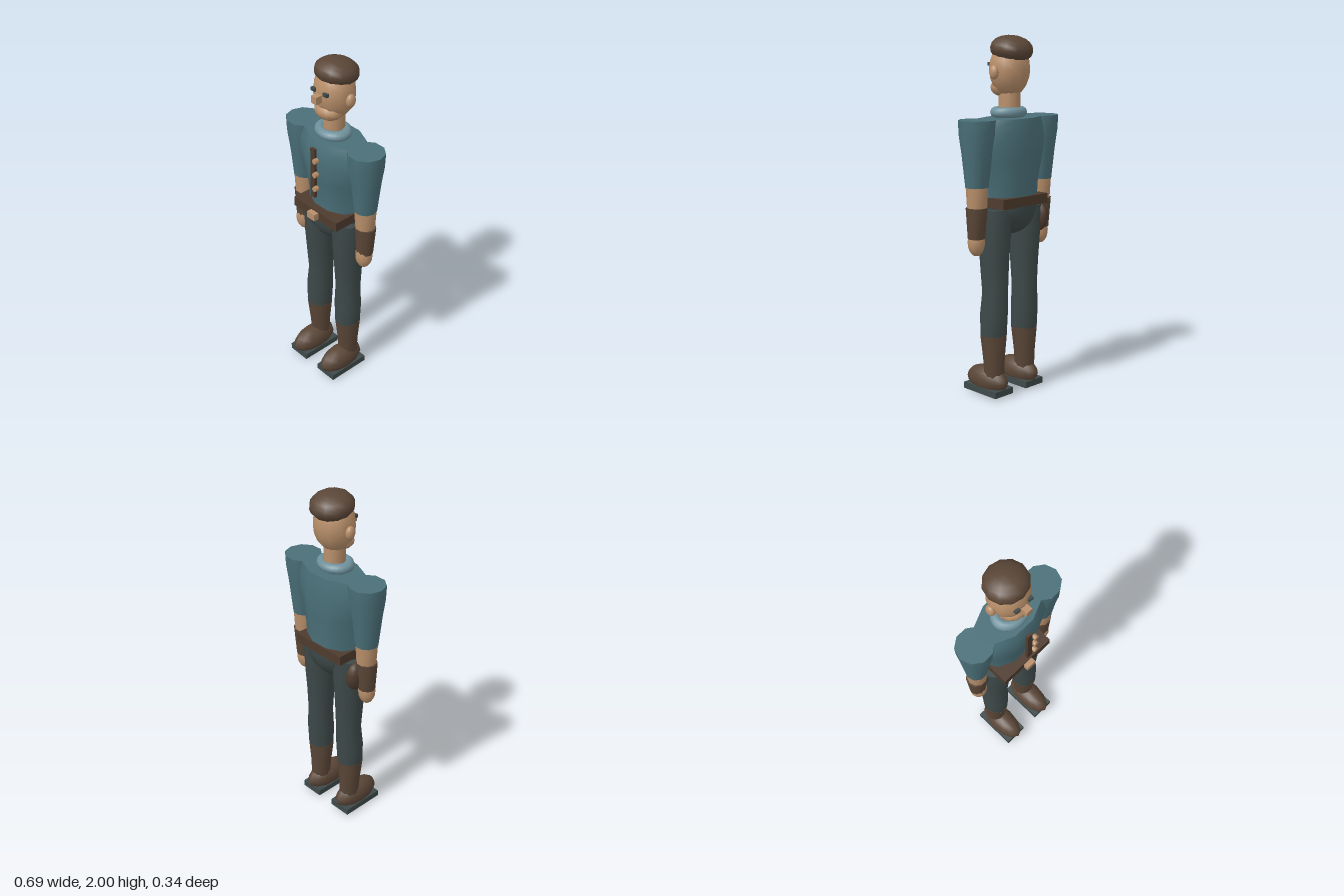
import * as THREE from 'three';
import { toCreasedNormals } from 'three/addons/utils/BufferGeometryUtils.js';

const mat = (name, color) => Object.assign(new THREE.MeshStandardMaterial({ color }), { name });

export function createModel() {
  const model = new THREE.Group();
  model.name = 'standingMan';

  const teal = mat('tealShirt', 0x4a6f78);
  const collarBlue = mat('paleBlueCollar', 0x6e919c);
  const skin = mat('skin', 0xb88f6a);
  const brown = mat('brownLeather', 0x5a4637);
  const beltBrown = mat('darkBrownLeather', 0x4e3b2e);
  const dark = mat('darkTrousers', 0x3e4949);

  const Z = -0.035; // depth of the body axis

  function add(name, geometry, material, x = 0, y = 0, z = 0) {
    const mesh = new THREE.Mesh(geometry, material);
    mesh.name = name;
    mesh.position.set(x, y, z);
    model.add(mesh);
    return mesh;
  }

  // Ten-sided limb through rings listed from top to bottom: [y, x, z, radiusX, radiusZ]
  function loft(name, rings, material) {
    const g = new THREE.CylinderGeometry(1, 1, 1, 10, rings.length - 1);
    g.rotateY(Math.PI / 2);
    const p = g.attributes.position;
    for (let i = 0; i < p.count; i++) {
      const [y, x, z, rx, rz] = rings[Math.round((0.5 - p.getY(i)) * (rings.length - 1))];
      p.setXYZ(i, x + p.getX(i) * rx, y, z + p.getZ(i) * rz);
    }
    return add(name, toCreasedNormals(g, 0.9), material);
  }

  function ellipsoid(name, material, [x, y, z], [rx, ry, rz], start = 0, length = Math.PI) {
    const g = new THREE.SphereGeometry(1, 12, 10, 0, Math.PI * 2, start, length);
    g.scale(rx, ry, rz);
    return add(name, g, material, x, y, z);
  }

  const box = (name, material, [x, y, z], [w, h, d]) =>
    add(name, new THREE.BoxGeometry(w, h, d), material, x, y, z);

  // Torso, belt and hips
  loft('torso', [
    [1.56, 0, Z - 0.005, 0.205, 0.122],
    [1.51, 0, Z, 0.222, 0.135],
    [1.43, 0, Z, 0.232, 0.143],
    [1.32, 0, Z - 0.003, 0.205, 0.134],
    [1.21, 0, Z - 0.01, 0.178, 0.115],
    [1.12, 0, Z - 0.01, 0.172, 0.112],
  ], teal);
  box('belt', beltBrown, [0, 1.108, -0.026], [0.344, 0.055, 0.268]);
  box('buckle', skin, [0, 1.108, 0.122], [0.058, 0.04, 0.032]);
  ellipsoid('hips', dark, [0, 1.085, Z], [0.172, 0.17, 0.137], Math.PI / 2, Math.PI / 2);

  // Shirt fastening
  box('placket', beltBrown, [0, 1.38, 0.113], [0.032, 0.3, 0.016]);
  for (const y of [1.47, 1.385, 1.297]) {
    const g = new THREE.CylinderGeometry(0.015, 0.015, 0.024, 10);
    g.rotateX(Math.PI / 2);
    add('button', g, skin, 0.03, y, 0.126);
  }

  // Collar and neck
  const ring = new THREE.TorusGeometry(0.078, 0.032, 10, 24);
  ring.rotateX(Math.PI / 2);
  ring.scale(1, 0.9, 0.84);
  add('collar', ring, collarBlue, 0, 1.588, -0.027);
  loft('neck', [[1.74, 0, -0.033, 0.058, 0.06], [1.56, 0, -0.033, 0.061, 0.063]], skin);

  // Head and face
  ellipsoid('head', skin, [0, 1.82, Z], [0.118, 0.15, 0.11]);
  ellipsoid('jaw', skin, [0, 1.722, 0.002], [0.086, 0.054, 0.073]);
  box('nose', skin, [0, 1.812, 0.08], [0.038, 0.042, 0.056]);
  ellipsoid('cap', brown, [0, 1.927, -0.05], [0.121, 0.073, 0.119]).rotation.x = -0.15;

  for (const s of [-1, 1]) {
    box('eye', dark, [s * 0.045, 1.845, 0.067], [0.03, 0.018, 0.018]);
    ellipsoid('ear', skin, [s * 0.12, 1.805, -0.037], [0.022, 0.038, 0.029]);

    // Arms
    const ax = s * 0.247;
    loft('sleeve', [
      [1.56, s * 0.243, Z, 0.103, 0.102],
      [1.48, s * 0.243, Z, 0.099, 0.099],
      [1.38, s * 0.245, Z, 0.084, 0.083],
      [1.2, ax, Z, 0.063, 0.063],
    ], teal);
    loft('forearm', [[1.2, ax, Z, 0.061, 0.061], [1.08, ax, Z, 0.054, 0.054]], skin);
    loft('cuff', [[1.09, s * 0.25, Z, 0.061, 0.058], [0.92, s * 0.25, -0.033, 0.049, 0.046]], brown);
    ellipsoid('hand', skin, [s * 0.249, 0.902, -0.03], [0.049, 0.08, 0.048]);

    // Legs
    loft('trouserLeg', [
      [1.07, s * 0.115, Z, 0.092, 0.102],
      [0.9, s * 0.117, Z, 0.085, 0.097],
      [0.75, s * 0.117, Z, 0.077, 0.085],
      [0.6, s * 0.116, -0.038, 0.07, 0.076],
      [0.48, s * 0.121, -0.034, 0.077, 0.08],
      [0.35, s * 0.122, -0.031, 0.073, 0.076],
    ], dark);
    loft('bootShaft', [
      [0.355, s * 0.122, -0.031, 0.074, 0.077],
      [0.22, s * 0.122, -0.034, 0.061, 0.063],
      [0.08, s * 0.122, -0.037, 0.053, 0.056],
    ], brown);
    ellipsoid('boot', brown, [s * 0.121, 0.08, 0.019], [0.072, 0.08, 0.149]);
    box('sole', dark, [s * 0.121, 0.029, 0.014], [0.138, 0.036, 0.258]);
  }

  // Pouch hanging at the right hip
  ellipsoid('hipPouch', beltBrown, [-0.2, 0.99, -0.065], [0.042, 0.085, 0.065]);

  return model;
}
